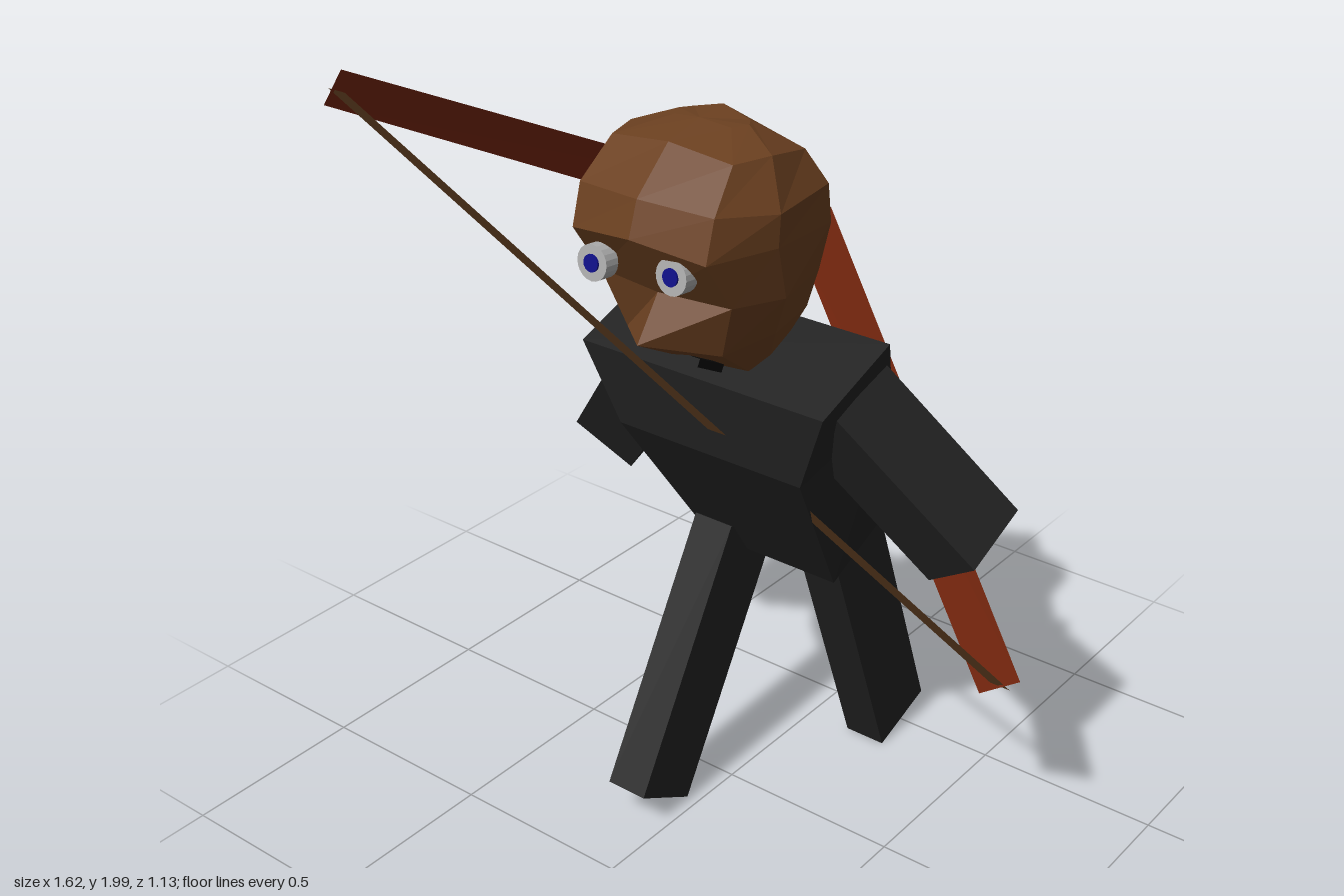
import * as THREE from 'three';

const V = (x, y, z) => new THREE.Vector3(x, y, z);
const material = (color) => new THREE.MeshStandardMaterial({ color, flatShading: true, side: THREE.DoubleSide });

const cloth = material(0x222222);
const skin = material(0x6b4020);
const wood = material(0x802a10);
const cord = material(0x5a3a1e);
const black = material(0x080808);
const eyeWhite = material(0xb0b0b0);
const iris = material(0x10108a);

function addMesh(parent, name, geometry, mat) {
  const mesh = new THREE.Mesh(geometry, mat);
  mesh.name = name;
  parent.add(mesh);
  return mesh;
}

// Closed skin over rings of points, each running counter-clockwise seen from above
function loft(rings) {
  const n = rings[0].length;
  const index = [];
  for (let i = 0; i < rings.length - 1; i++) {
    for (let j = 0; j < n; j++) {
      const k = (j + 1) % n;
      const a = i * n + j, b = i * n + k, c = b + n, d = a + n;
      index.push(a, b, c, a, c, d);
    }
  }
  const top = (rings.length - 1) * n;
  for (let j = 1; j < n - 1; j++) {
    index.push(0, j + 1, j, top, top + j, top + j + 1);
  }
  const geometry = new THREE.BufferGeometry().setFromPoints(rings.flat());
  geometry.setIndex(index);
  geometry.computeVertexNormals();
  return geometry;
}

// Strip of quads between two rows of points
function strip(rowA, rowB) {
  const index = [];
  const n = rowA.length;
  for (let i = 0; i < n - 1; i++) index.push(i, n + i, n + i + 1, i, n + i + 1, i + 1);
  const geometry = new THREE.BufferGeometry().setFromPoints([...rowA, ...rowB]);
  geometry.setIndex(index);
  geometry.computeVertexNormals();
  return geometry;
}

// Square-ended box running from top to bottom, its width along xDir
function limb(parent, name, top, bottom, xDir, width, depth) {
  const up = top.clone().sub(bottom);
  const mesh = addMesh(parent, name, new THREE.BoxGeometry(width, up.length(), depth), cloth);
  const x = xDir.clone().normalize();
  const y = up.normalize();
  const z = x.clone().cross(y);
  mesh.quaternion.setFromRotationMatrix(new THREE.Matrix4().makeBasis(x, y, z));
  mesh.position.copy(top).add(bottom).multiplyScalar(0.5);
}

export function createModel() {
  const model = new THREE.Group();
  model.name = 'archer';

  // The body is symmetric about its own centre line
  const body = new THREE.Group();
  body.name = 'body';
  body.position.x = 0.05;
  model.add(body);

  // Torso leaning forward: half width, front y and z, back y and z
  const torsoRings = [
    [0.2, 0.67, -0.1, 0.77, -0.33],
    [0.275, 1.085, 0.16, 1.16, -0.22],
    [0.36, 1.3, 0.195, 1.395, -0.07],
  ].map(([w, yf, zf, yb, zb]) => [V(-w, yf, zf), V(w, yf, zf), V(w, yb, zb), V(-w, yb, zb)]);
  addMesh(body, 'torso', loft(torsoRings), cloth);

  // Striding legs
  const side = V(1, 0, 0);
  limb(body, 'rightLeg', V(-0.135, 0.717, -0.122), V(-0.135, 0.072, 0.25), side, 0.117, 0.207);
  limb(body, 'leftLeg', V(0.135, 0.745, -0.214), V(0.135, 0.045, -0.467), side, 0.117, 0.207);

  // Arms held out and back
  for (const s of [1, -1]) {
    limb(body, s > 0 ? 'leftArm' : 'rightArm', V(s * 0.25, 1.24, -0.024), V(s * 0.553, 0.8725, -0.178),
      V(s * 0.15, 0.105, 0.045), 0.19, 0.205);
  }

  // Head: each ring gives front, front corner, side, back corner, back
  const headRings = [
    [[0, 1.32, 0.14], [0.1, 1.325, 0.13], [0.11, 1.34, 0.06], [0.1, 1.36, -0.02], [0, 1.37, -0.04]],
    [[0, 1.465, 0.41], [0.14, 1.43, 0.28], [0.185, 1.45, 0.14], [0.15, 1.45, -0.03], [0, 1.45, -0.055]],
    [[0, 1.57, 0.335], [0.19, 1.57, 0.31], [0.235, 1.56, 0.17], [0.19, 1.56, -0.02], [0, 1.56, -0.06]],
    [[0, 1.725, 0.43], [0.19, 1.7, 0.4], [0.25, 1.7, 0.22], [0.22, 1.68, -0.02], [0, 1.68, -0.07]],
    [[0, 1.81, 0.4], [0.19, 1.8, 0.37], [0.255, 1.78, 0.22], [0.225, 1.78, 0], [0, 1.79, -0.045]],
    [[0, 1.91, 0.29], [0.17, 1.89, 0.28], [0.2, 1.89, 0.18], [0.18, 1.86, 0.03], [0, 1.88, 0]],
    [[0, 1.935, 0.18], [0.08, 1.925, 0.17], [0.1, 1.925, 0.13], [0.08, 1.925, 0.1], [0, 1.945, 0.095]],
  ].map((half) => [
    ...half.map(([x, y, z]) => V(x, y, z)),
    ...half.slice(1, 4).reverse().map(([x, y, z]) => V(-x, y, z)),
  ]);
  addMesh(body, 'head', loft(headRings), skin);

  // Eyes: pale discs with blue irises
  for (const [name, x, y, z] of [['rightEye', -0.118, 1.636, 0.4], ['leftEye', 0.097, 1.652, 0.385]]) {
    const eye = new THREE.Group();
    eye.name = name;
    eye.position.set(x, y, z);
    eye.rotation.x = Math.PI / 2 - 0.1;
    addMesh(eye, 'eyeWhite', new THREE.CylinderGeometry(0.043, 0.043, 0.04, 20), eyeWhite);
    addMesh(eye, 'iris', new THREE.CylinderGeometry(0.021, 0.021, 0.05, 16), iris);
    body.add(eye);
  }

  // Mouth on the receding jaw
  const mouth = addMesh(body, 'mouth', new THREE.BoxGeometry(0.155, 0.1, 0.02), black);
  mouth.position.set(0, 1.375, 0.243);
  mouth.rotation.x = 1.078;

  // Bow slung over the back: a flat bent blade
  addMesh(model, 'bow', strip(
    [V(-0.81, 1.875, 0.51), V(-0.08, 1.43, -0.375), V(0.675, 0.495, -0.13)],
    [V(-0.675, 2, 0.565), V(0.06, 1.575, -0.32), V(0.81, 0.61, -0.085)],
  ).toNonIndexed(), wood);

  // Bowstring: a ribbon passing across the chest
  addMesh(model, 'bowstring', strip(
    [V(-0.765, 1.93, 0.53), V(0.715, 0.555, -0.11)],
    [V(-0.71, 1.93, 0.53), V(0.77, 0.555, -0.11)],
  ), cord);

  return model;
}
